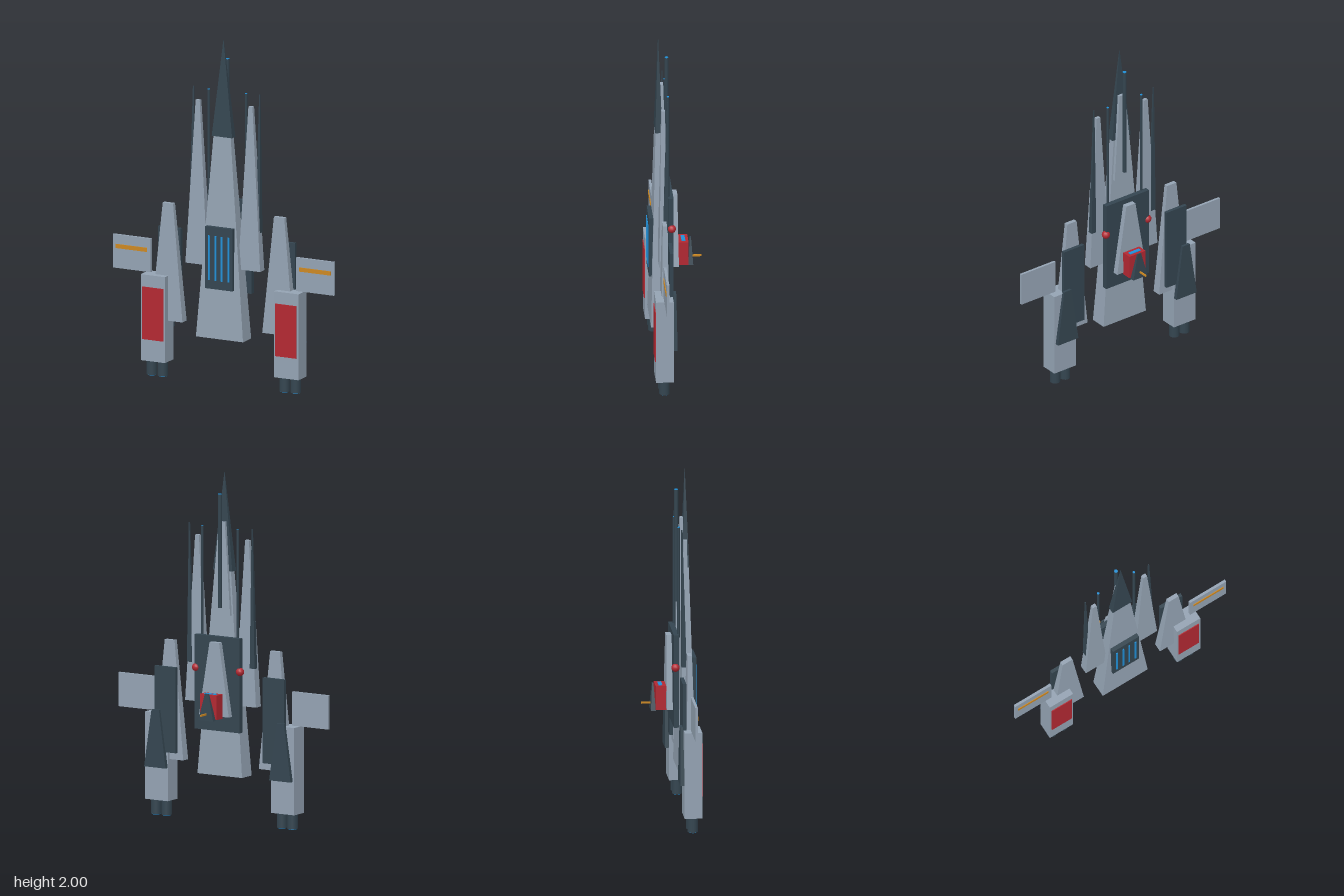
import * as THREE from 'three';

const mat = (name, color) => {
  const m = new THREE.MeshStandardMaterial({ color });
  m.name = name;
  return m;
};

export function createModel() {
  const light = mat('hull grey', 0x94a3b3);
  const dark = mat('dark slate', 0x344550);
  const red = mat('red', 0xb32832);
  const blue = mat('glow blue', 0x2090d8);
  const orange = mat('orange', 0xcc8822);

  const model = new THREE.Group();
  model.name = 'starfighter';

  const add = (parent, name, geometry, material, x, y, z) => {
    const mesh = new THREE.Mesh(geometry, material);
    mesh.name = name;
    mesh.position.set(x, y, z);
    parent.add(mesh);
    return mesh;
  };

  // Box given by its limits: [x0, x1], [y0, y1], [z0, z1]
  const block = (parent, name, material, [x0, x1], [y0, y1], [z0, z1]) =>
    add(parent, name, new THREE.BoxGeometry(x1 - x0, y1 - y0, z1 - z0), material,
      (x0 + x1) / 2, (y0 + y1) / 2, (z0 + z1) / 2);

  // Box whose top end is narrowed: half sizes [hx, hz] at bottom and top, top shifted by dz
  const taper = (parent, name, material, x, z, [y0, y1], bottom, top, dz = 0) => {
    const g = new THREE.BoxGeometry(2, y1 - y0, 2);
    const p = g.attributes.position;
    for (let i = 0; i < p.count; i++) {
      const up = p.getY(i) > 0;
      const [hx, hz] = up ? top : bottom;
      p.setX(i, p.getX(i) * hx);
      p.setZ(i, p.getZ(i) * hz + (up ? dz : 0));
    }
    g.computeVertexNormals();
    return add(parent, name, g, material, x, (y0 + y1) / 2, z);
  };

  // Gun barrel with a glowing muzzle
  const gun = (parent, name, x, z, y0, y1, r) => {
    add(parent, name, new THREE.CylinderGeometry(r, r, y1 - y0, 8), dark, x, (y0 + y1) / 2, z);
    add(parent, name + 'Muzzle', new THREE.CylinderGeometry(r * 0.9, r * 0.9, 0.004, 8), blue, x, y1 + 0.001, z);
  };

  // Central hull and nose
  taper(model, 'fuselage', light, 0, 0.092, [0.27, 1.44], [0.15, 0.05], [0.055, 0.018]);
  taper(model, 'nose', dark, 0, 0.092, [1.44, 2], [0.065, 0.02], [0.001, 0.001]);
  taper(model, 'noseSpine', light, 0, 0.066, [1.19, 1.72], [0.065, 0.016], [0.02, 0.01], 0.008);
  gun(model, 'spineGun', 0, 0.044, 1.23, 1.88, 0.012);

  // Front grille with glowing bars
  block(model, 'grillePanel', dark, [-0.087, 0.087], [0.56, 0.92], [0.125, 0.15]);
  for (const x of [-0.062, -0.02, 0.02, 0.062])
    block(model, 'grilleBar', blue, [x - 0.005, x + 0.005], [0.61, 0.87], [0.149, 0.155]);

  // Back plate, hump and rear turret
  block(model, 'backPlate', dark, [-0.152, 0.152], [0.53, 1.07], [0.015, 0.045]);
  taper(model, 'backHump', light, 0, 0, [0.62, 1.04], [0.1, 0.019], [0.032, 0.015]);
  block(model, 'turret', red, [-0.057, 0.057], [0.61, 0.75], [-0.077, -0.015]);
  block(model, 'turretWindow', blue, [-0.038, 0.038], [0.747, 0.753], [-0.06, -0.038]);
  taper(model, 'turretFin', dark, 0, -0.09, [0.605, 0.757], [0.05, 0.014], [0.012, 0.004]);
  block(model, 'turretBarrel', orange, [-0.004, 0.004], [0.636, 0.646], [-0.155, -0.09]);

  // One side, built on +x; every part is symmetric so it is simply repeated at -x
  for (const s of [1, -1]) {
    const side = new THREE.Group();
    side.name = s > 0 ? 'leftSide' : 'rightSide';
    model.add(side);
    const span = (a, b) => (s > 0 ? [a, b] : [-b, -a]);

    // Inner prong, spike and gun
    taper(side, 'prong', light, s * 0.168, 0.076, [0.68, 1.63], [0.07, 0.026], [0.013, 0.01]);
    taper(side, 'spike', dark, s * 0.211, 0.066, [0.9, 1.7], [0.016, 0.014], [0.003, 0.003], -0.012);
    gun(side, 'sideGun', s * 0.119, 0.045, 1.05, 1.69, 0.008);
    add(side, 'sensorBall', new THREE.SphereGeometry(0.024, 12, 8), red, s * 0.147, 0.88, 0.025);

    // Outer wing with its rear plate
    taper(side, 'outerWing', light, s * 0.354, 0.081, [0.33, 1.01], [0.1, 0.026], [0.033, 0.012]);
    block(side, 'wingBackPlate', dark, span(0.292, 0.435), [0.37, 0.86], [0.036, 0.056]);

    // Engine pod
    block(side, 'enginePod', light, span(0.347, 0.502), [0.09, 0.59], [0.04, 0.14]);
    block(side, 'engineFrontPanel', red, span(0.356, 0.49), [0.215, 0.52], [0.137, 0.145]);
    taper(side, 'engineFin', dark, s * 0.42, 0.029, [0.28, 0.61], [0.072, 0.012], [0.025, 0.008]);
    for (const x of [0.388, 0.458]) {
      add(side, 'nozzle', new THREE.CylinderGeometry(0.03, 0.03, 0.096, 12), dark, s * x, 0.052, 0.09);
      add(side, 'nozzleGlow', new THREE.CylinderGeometry(0.023, 0.023, 0.006, 12), blue, s * x, 0.003, 0.09);
    }

    // Side panel with stripe
    block(side, 'sidePanel', light, span(0.463, 0.704), [0.595, 0.79], [0.079, 0.094]);
    block(side, 'sideStripe', orange, span(0.485, 0.685), [0.711, 0.735], [0.092, 0.098]);
  }
  return model;
}
